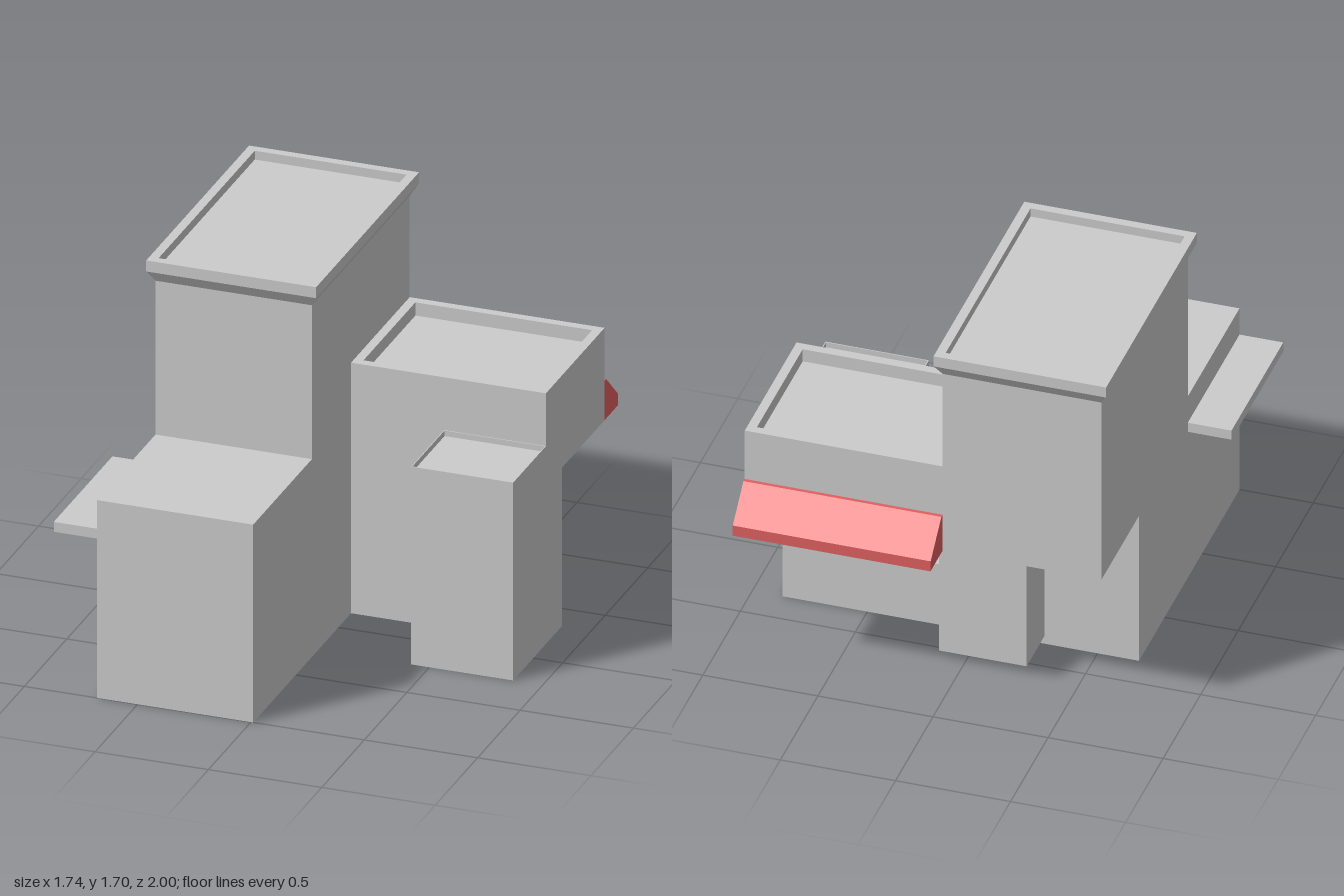
import * as THREE from 'three';

const grey = new THREE.MeshStandardMaterial({ color: 0xcccccc, flatShading: true });
const red = new THREE.MeshStandardMaterial({ color: 0xe06060, flatShading: true, side: THREE.DoubleSide });

// Closed solid skinned over stacked rectangles [x0, x1, z0, z1, y]
function loft(rings) {
  const pos = [], idx = [];
  rings.forEach(([x0, x1, z0, z1, y]) => pos.push(x0, y, z1, x1, y, z1, x1, y, z0, x0, y, z0));
  for (let r = 0; r < rings.length - 1; r++) {
    for (let i = 0; i < 4; i++) {
      const a = r * 4 + i, b = r * 4 + (i + 1) % 4;
      idx.push(a, b, b + 4, a, b + 4, a + 4);
    }
  }
  const t = (rings.length - 1) * 4;
  idx.push(0, 2, 1, 0, 3, 2, t, t + 1, t + 2, t, t + 2, t + 3);
  const g = new THREE.BufferGeometry();
  g.setAttribute('position', new THREE.Float32BufferAttribute(pos, 3));
  g.setIndex(idx);
  const flat = g.toNonIndexed();
  flat.computeVertexNormals();
  return flat;
}

const block = (x0, x1, y0, y1, z0, z1) => loft([[x0, x1, z0, z1, y0], [x0, x1, z0, z1, y1]]);

// Rings of a roof edge of width w around a floor sunk by depth d
const sunkRoof = (x0, x1, z0, z1, y, w, d) => [
  [x0, x1, z0, z1, y],
  [x0 + w, x1 - w, z0 + w, z1 - w, y],
  [x0 + w, x1 - w, z0 + w, z1 - w, y - d],
];

export function createModel() {
  const model = new THREE.Group();
  model.name = 'building';
  const add = (name, geometry, material = grey) => {
    const mesh = new THREE.Mesh(geometry, material);
    mesh.name = name;
    model.add(mesh);
    return mesh;
  };

  // Tower, overhanging at the back, with a flared cornice and sunk roof
  add('tower', loft([
    [-0.68, 0.01, -0.84, 0.31, 0.72],
    [-0.68, 0.01, -0.84, 0.31, 1.6],
    [-0.71, 0.04, -0.87, 0.34, 1.65],
    ...sunkRoof(-0.71, 0.04, -0.87, 0.34, 1.7, 0.04, 0.04),
  ]));

  // Ground floor under the tower and the low front block
  add('towerBase', block(-0.68, 0.01, 0, 0.72, -0.34, 0.31));
  add('frontBlock', block(-0.68, 0.01, 0, 0.9, 0.31, 1));

  // Side wing upper floor with parapet
  add('wing', loft([
    [0.01, 0.87, -0.84, -0.15, 0.72],
    ...sunkRoof(0.01, 0.87, -0.84, -0.15, 1.14, 0.04, 0.06),
  ]));

  // Wing ground floor: rear wall pierced by a window, solid core behind it
  const wall = new THREE.Shape([[0.01, 0], [0.87, 0], [0.87, 0.72], [0.01, 0.72]]
    .map(([x, y]) => new THREE.Vector2(x, y)));
  wall.holes.push(new THREE.Path([[0.17, 0.3], [0.17, 0.67], [0.45, 0.67], [0.45, 0.3]]
    .map(([x, y]) => new THREE.Vector2(x, y))));
  const wallGeometry = new THREE.ExtrudeGeometry(wall, { depth: 0.14, bevelEnabled: false });
  add('windowWall', wallGeometry.translate(0, 0, -0.34));
  add('wingBase', block(0.01, 0.87, 0, 0.72, -0.2, -0.15));

  // Fittings in the window recess
  add('windowCounter', block(0.2, 0.42, 0.3, 0.4, -0.26, -0.2));
  const ring = add('windowRing', new THREE.TorusGeometry(0.035, 0.01, 6, 12));
  ring.position.set(0.36, 0.46, -0.21);

  // Porch with a thin roof edge
  add('porch', loft([
    [0.42, 0.87, -0.15, 0.235, 0],
    ...sunkRoof(0.42, 0.87, -0.15, 0.235, 0.9, 0.004, 0.025),
  ]));

  // Box below the rear overhang, and the side ledge
  add('rearBox', block(-0.27, 0.11, 0.04, 0.72, -0.58, -0.34));
  add('sideLedge', block(-0.87, -0.68, 0.725, 0.77, 0.31, 1));

  // Hollow awning: sheet bent along a profile (distance outwards, height), plus two ends
  const awning = new THREE.Group();
  awning.name = 'awning';
  model.add(awning);
  const profile = [[0.84, 0.9], [0.857, 0.9], [1, 0.77], [1, 0.72]];
  const sheet = new THREE.PlaneGeometry(1, 1, 1, profile.length - 1);
  const p = sheet.attributes.position;
  for (let i = 0; i < p.count; i++) {
    const [out, y] = profile[Math.floor(i / 2)];
    p.setXYZ(i, i % 2 ? 0.01 : 0.87, y, -out);
  }
  const cover = new THREE.Mesh(sheet.toNonIndexed(), red);
  cover.geometry.computeVertexNormals();
  cover.name = 'awningCover';
  awning.add(cover);
  const end = new THREE.Shape([...profile, [0.84, 0.72]].map(([u, v]) => new THREE.Vector2(u, v)));
  for (const x of [0.011, 0.87]) {
    const mesh = new THREE.Mesh(new THREE.ShapeGeometry(end).rotateY(Math.PI / 2), red);
    mesh.position.x = x;
    mesh.name = 'awningEnd';
    awning.add(mesh);
  }
  return model;
}
